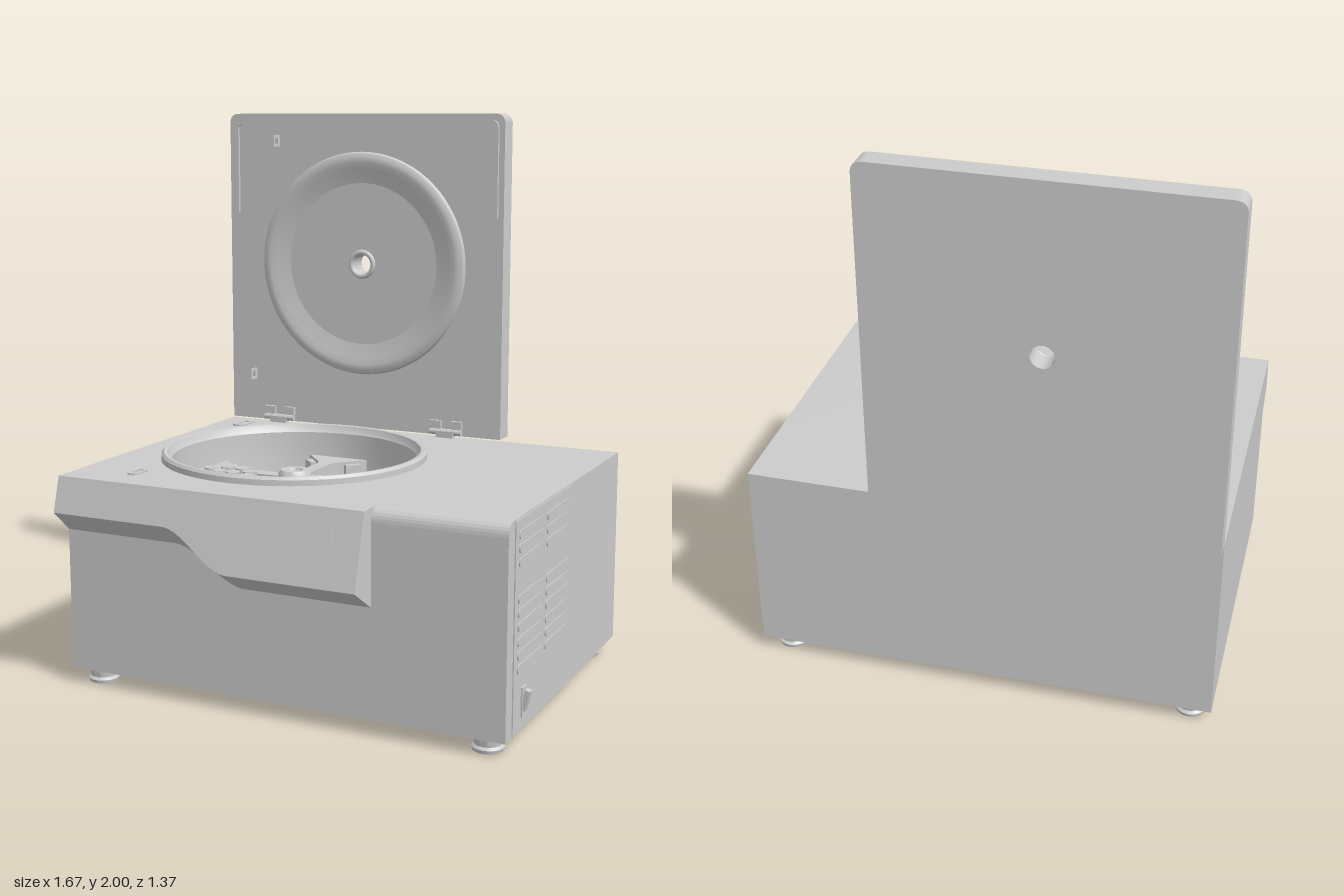
import * as THREE from 'three';
import { toCreasedNormals } from 'three/addons/utils/BufferGeometryUtils.js';

const mat = new THREE.MeshStandardMaterial({ color: 0xcccccc, side: THREE.DoubleSide });
const CX = -0.25, CZ = -0.03; // bowl axis

function add(parent, name, geo, x = 0, y = 0, z = 0) {
  const m = new THREE.Mesh(geo, mat);
  m.name = name;
  m.position.set(x, y, z);
  parent.add(m);
  return m;
}
const box = (p, n, w, h, d, x, y, z) => add(p, n, new THREE.BoxGeometry(w, h, d), x, y, z);
// box given by its limits
const span = (p, n, x0, x1, y0, y1, z0, z1) =>
  box(p, n, x1 - x0, y1 - y0, z1 - z0, (x0 + x1) / 2, (y0 + y1) / 2, (z0 + z1) / 2);
const cyl = (p, n, rt, rb, h, x, y, z, seg = 32) => add(p, n, new THREE.CylinderGeometry(rt, rb, h, seg), x, y, z);
const lathe = (pts, seg = 72) =>
  toCreasedNormals(new THREE.LatheGeometry(pts.map(p => new THREE.Vector2(...p)), seg), 0.6);
const poly = pts => new THREE.Shape(pts.map(p => new THREE.Vector2(...p)));
const extrude = (shape, depth) =>
  toCreasedNormals(new THREE.ExtrudeGeometry(shape, { depth, bevelEnabled: false, curveSegments: 32 }), 0.5);
function circleHole(shape, x, y, r) {
  shape.holes.push(new THREE.Path().absarc(x, y, r, 0, Math.PI * 2, true));
  return shape;
}
function stadium(w, l) {
  const r = w / 2, h = l / 2 - r, s = new THREE.Shape();
  s.absarc(0, h, r, 0, Math.PI);
  s.absarc(0, -h, r, Math.PI, Math.PI * 2);
  s.closePath();
  return s;
}

// Sloping control console whose lower edge sweeps down in an S
function consoleGeometry() {
  const v = [], rings = [], N = 32;
  const xs = [-0.835];
  for (let i = 0; i <= N; i++) xs.push(-0.4 + 0.27 * i / N);
  xs.push(0.335);
  for (const x of xs) {
    const y = 0.64 - 0.127 * THREE.MathUtils.smoothstep(x, -0.4, -0.13);
    rings.push([[x, 0.765, 0.56], [x, 0.765, 0.61], [x, y, 0.61 + 0.28 * (0.765 - y)], [x, y - 0.077, 0.56]]);
  }
  const tri = (...p) => p.forEach(q => v.push(...q));
  for (let i = 0; i + 1 < rings.length; i++) {
    for (let j = 0; j < 4; j++) {
      const a = rings[i], b = rings[i + 1], k = (j + 1) % 4;
      tri(a[j], a[k], b[k]);
      tri(a[j], b[k], b[j]);
    }
  }
  const [l, r] = [rings[0], rings[rings.length - 1]];
  tri(r[0], r[1], r[2]); tri(r[0], r[2], r[3]);
  tri(l[0], l[2], l[1]); tri(l[0], l[3], l[2]);
  const g = new THREE.BufferGeometry();
  g.setAttribute('position', new THREE.Float32BufferAttribute(v, 3));
  return toCreasedNormals(g, 0.5);
}

function buildBody(root) {
  const g = new THREE.Group();
  g.name = 'housing';
  root.add(g);
  span(g, 'lowerBody', -0.835, 0.335, 0.055, 0.32, -0.605, 0.56);
  // upper body with the round chamber opening
  const top = poly([[-0.835, -0.56], [0.335, -0.56], [0.335, 0.605], [-0.835, 0.605]]);
  add(g, 'upperBody', extrude(circleHole(top, CX, -CZ, 0.465), 0.445).rotateX(-Math.PI / 2), 0, 0.32, 0);
  add(g, 'console', consoleGeometry());
  const tilt = Math.atan(0.28);
  const display = box(g, 'display', 0.265, 0.066, 0.008, 0.102, 0.672, 0.636);
  display.rotation.x = -tilt;

  // side module with a rounded upper front edge
  const s = new THREE.Shape();
  s.moveTo(0.605, 0.055);
  s.lineTo(0.605, 0.765);
  s.lineTo(-0.51, 0.765);
  s.quadraticCurveTo(-0.56, 0.765, -0.56, 0.715);
  s.lineTo(-0.56, 0.055);
  s.closePath();
  add(g, 'sideModule', extrude(s, 0.465).rotateY(Math.PI / 2), 0.335, 0, 0);
  span(g, 'sidePanel', 0.79, 0.804, 0.058, 0.76, -0.055, 0.505);

  // louvres: two columns of three groups
  for (const z of [0.36, 0.095])
    for (const y of [0.71, 0.5, 0.36])
      for (let i = 0; i < 3; i++) {
        const vent = add(g, 'louvre', extrude(stadium(0.03, 0.235), 0.006), 0.802, y - i * 0.045, z);
        vent.rotation.set(Math.PI / 2, Math.PI / 2, 0);
      }
  span(g, 'switchPlate', 0.8, 0.81, 0.1, 0.2, 0.395, 0.435);
  box(g, 'powerSwitch', 0.018, 0.07, 0.026, 0.815, 0.155, 0.415).rotation.z = -0.25;

  for (const x of [-0.755, 0.715])
    for (const z of [0.485, -0.53])
      add(g, 'foot', lathe([[0, 0], [0.052, 0], [0.055, 0.012], [0.046, 0.02], [0.05, 0.056], [0, 0.056]], 32), x, 0, z);

  // latch slots in the top
  for (const [x, z, w, l] of [[-0.725, -0.49, 0.056, 0.115], [-0.615, 0.45, 0.044, 0.095]]) {
    const frame = stadium(w, l);
    frame.holes.push(stadium(w * 0.4, l * 0.6));
    add(g, 'latchSlot', extrude(frame, 0.008).rotateX(-Math.PI / 2), x, 0.763, z);
  }
}

function buildChamber(root) {
  const g = new THREE.Group();
  g.name = 'chamber';
  g.position.set(CX, 0, CZ);
  root.add(g);
  // rim, bowl wall, floor and central dome in one profile
  add(g, 'bowl', lathe([[0.485, 0.762], [0.484, 0.785], [0.475, 0.795], [0.462, 0.793], [0.455, 0.775],
    [0.447, 0.765], [0.445, 0.4], [0.43, 0.365], [0.4, 0.35], [0.23, 0.35], [0.215, 0.41], [0.17, 0.46],
    [0.1, 0.5], [0, 0.51]], 96));

  // rotor cross with flared arm ends
  const arm = new THREE.Shape();
  arm.moveTo(-0.025, 0);
  arm.lineTo(-0.025, 0.23);
  arm.quadraticCurveTo(-0.03, 0.265, -0.06, 0.29);
  arm.lineTo(-0.122, 0.36);
  arm.lineTo(0.122, 0.36);
  arm.lineTo(0.06, 0.29);
  arm.quadraticCurveTo(0.03, 0.265, 0.025, 0.23);
  arm.lineTo(0.025, 0);
  for (let i = 0; i < 4; i++) {
    const a = new THREE.Group();
    a.name = 'rotorArm';
    a.rotation.y = i * Math.PI / 2;
    g.add(a);
    add(a, 'arm', extrude(arm, 0.09).rotateX(-Math.PI / 2), 0, 0.6, 0);
    for (const s of [-1, 1])
      box(a, 'trunnion', 0.028, 0.05, 0.06, s * 0.088, 0.655, -0.305).rotation.y = -s * Math.PI / 4;
  }
  add(g, 'hub', lathe([[0.06, 0.5], [0.06, 0.7], [0.05, 0.715], [0.03, 0.715], [0.026, 0.705], [0, 0.705]], 40));

  // two buckets, one with many thin tubes and one with seven wide tubes
  const buckets = [[-0.193, 0.026, [[4, 0.04], [10, 0.1]]], [0.193, 0.039, [[1, 0], [6, 0.083]]]];
  for (const [x, r, rings] of buckets) {
    const b = new THREE.Group();
    b.name = 'bucket';
    b.position.set(x, 0, 0.195);
    g.add(b);
    add(b, 'cup', lathe([[0, 0.42], [0.115, 0.42], [0.13, 0.45], [0.135, 0.64], [0.15, 0.65], [0.15, 0.68],
      [0.132, 0.68], [0.128, 0.655], [0, 0.655]], 48));
    for (const [n, radius] of rings)
      for (let i = 0; i < n; i++) {
        const t = (i + 0.5) / n * Math.PI * 2;
        cyl(b, 'tube', r, r, 0.12, radius * Math.sin(t), 0.665, radius * Math.cos(t), 20);
      }
  }
}

function buildLid(root) {
  const g = new THREE.Group();
  g.name = 'lid';
  root.add(g);
  const L = -0.835, R = 0.335, B = 0.77, T = 2, c = 0.04, y0 = 1.42, front = -0.605;
  const s = new THREE.Shape();
  s.moveTo(L, B);
  s.lineTo(R, B);
  s.lineTo(R, T - c);
  s.quadraticCurveTo(R, T, R - c, T);
  s.lineTo(L + c, T);
  s.quadraticCurveTo(L, T, L, T - c);
  s.closePath();
  add(g, 'lidPanel', extrude(circleHole(s, CX, y0, 0.04), 0.08), 0, 0, front - 0.08);
  // raised sealing ring and viewing port
  add(g, 'sealRing', lathe([[0.435, 0], [0.43, 0.012], [0.415, 0.02], [0.395, 0.02], [0.37, 0.012],
    [0.315, 0]], 96).rotateX(Math.PI / 2), CX, y0, front);
  add(g, 'portRing', new THREE.TorusGeometry(0.047, 0.01, 12, 40), CX, y0, front);

  // inverted U-shaped trim rib
  const rib = (o, r) => {
    const p = new THREE.Path();
    p.moveTo(L + o, 1.61);
    p.lineTo(L + o, T - o - r);
    p.quadraticCurveTo(L + o, T - o, L + o + r, T - o);
    p.lineTo(R - o - r, T - o);
    p.quadraticCurveTo(R - o, T - o, R - o, T - o - r);
    p.lineTo(R - o, 1.61);
    return p.getPoints(8);
  };
  add(g, 'trimRib', extrude(new THREE.Shape([...rib(0.022, 0.035), ...rib(0.042, 0.02).reverse()]), 0.012), 0, 0, front);

  // latch hooks: thin square loops
  for (const [x, y] of [[-0.615, 1.895], [-0.727, 0.957]]) {
    const h = poly([[0, -0.022], [0.05, -0.022], [0.05, 0.022], [0, 0.022]]);
    h.holes.push(poly([[0.016, -0.011], [0.016, 0.011], [0.039, 0.011], [0.039, -0.011]]));
    add(g, 'latchHook', extrude(h, 0.008).rotateY(-Math.PI / 2), x + 0.004, y, front);
  }

  // hinges
  for (const x of [-0.615, 0.115]) {
    for (const side of [-1, 1])
      box(g, 'hingeLeaf', 0.045, 0.032, 0.016, x + side * 0.043, 0.812, -0.598);
    cyl(g, 'hingePin', 0.012, 0.012, 0.13, x, 0.785, -0.593, 20).rotation.z = Math.PI / 2;
    box(g, 'hingeBase', 0.07, 0.03, 0.03, x, 0.775, -0.59);
  }
}

export function createModel() {
  const root = new THREE.Group();
  root.name = 'benchtopCentrifuge';
  buildBody(root);
  buildChamber(root);
  buildLid(root);
  return root;
}
